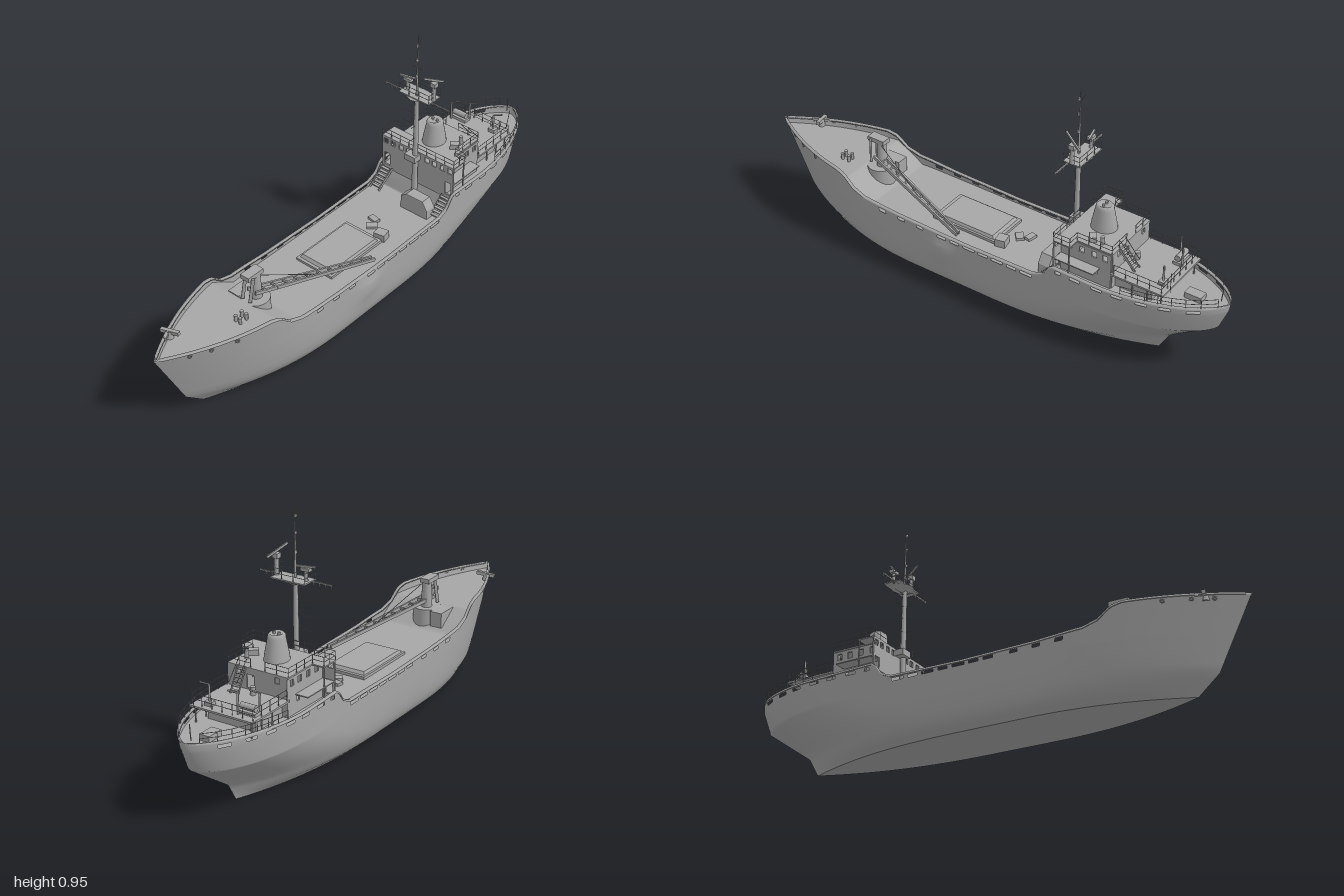
import * as THREE from 'three';

const grey = new THREE.MeshStandardMaterial({ color: 0xa6a6a6, side: THREE.DoubleSide });
grey.name = 'grey paint';
const V = (x, y, z) => new THREE.Vector3(x, y, z);

// piecewise linear lookup in a table of [input, output]
function lerpTable(t, x) {
  if (x <= t[0][0]) return t[0][1];
  for (let i = 1; i < t.length; i++) if (x <= t[i][0]) {
    const [a, p] = t[i - 1], [b, q] = t[i];
    return p + (q - p) * (x - a) / (b - a);
  }
  return t[t.length - 1][1];
}
const STERN = [[0, -.74], [.07, -.78], [.2, -.965], [.25, -.99], [.3, -1]];
const BOW = [[0, .79], [.07, .87], [.33, 1]];
const BEAM = [[0, .125], [.03, .157], [.07, .17], [.12, .175], [.2, .177]];
const SHEER = [[-1, .315], [-.6, .306], [-.39, .312], [-.37, .3], [-.345, .265], [-.3, .247], [0, .243],
  [.3, .25], [.48, .262], [.53, .28], [.565, .32], [.6, .33], [1, .33]];
const DECK = [[-1, .28], [-.38, .278], [-.37, .215], [.48, .22], [.57, .295], [1, .305]];
const STATIONS = [-1, -.998, -.995];
for (let i = 1; i < 200; i++) STATIONS.push(-1 + i / 100);
STATIONS.push(.995, 1);

// point on the hull skin at station s and height y
function hullPoint(s, y, side, out = 0) {
  const za = lerpTable(STERN, y), zb = lerpTable(BOW, y);
  const z = za + (s + 1) / 2 * (zb - za), k = Math.min(1, y / .2);
  const tb = Math.min(1, (zb - z) / .6), ts = Math.min(1, (z - za) / (.7 - .2 * k));
  const w = lerpTable(BEAM, y) * (1 - (1 - tb) ** 2.2) * (1 - (1 - ts) ** 2.4) ** (1 - .35 * k);
  let bump = 0;
  if (side > 0) bump = .014 * Math.exp(-(((z - .1) / .06) ** 2) - ((y - .17) / .045) ** 2);
  return V(side * (Math.max(0, w + (w > .01 ? out : 0)) + bump), y, z);
}

// surface through rows of points, leaving out cells where skip(i, j) is true
function loft(rows, skip = () => false) {
  const n = rows[0].length, pos = [], idx = [];
  rows.forEach(r => r.forEach(p => pos.push(p.x, p.y, p.z)));
  for (let i = 0; i < rows.length - 1; i++) for (let j = 0; j < n - 1; j++) {
    if (skip(i, j)) continue;
    const a = i * n + j, b = a + n;
    idx.push(a, b, a + 1, b, b + 1, a + 1);
  }
  const g = new THREE.BufferGeometry();
  g.setAttribute('position', new THREE.Float32BufferAttribute(pos, 3));
  g.setIndex(idx);
  g.computeVertexNormals();
  return g;
}

export function createModel() {
  const root = new THREE.Group();
  root.name = 'cargoShip';
  const ship = new THREE.Group();
  ship.name = 'ship';
  ship.position.x = -.005;
  root.add(ship);

  const add = (name, geo, x = 0, y = 0, z = 0) => {
    const m = new THREE.Mesh(geo, grey);
    m.name = name;
    m.position.set(x, y, z);
    ship.add(m);
    return m;
  };
  const box = (name, w, h, d, x, y, z) => add(name, new THREE.BoxGeometry(w, h, d), x, y + h / 2, z);
  const cyl = (name, r0, r1, h, x, y, z, n = 16) => add(name, new THREE.CylinderGeometry(r1, r0, h, n), x, y + h / 2, z);
  const rod = (name, a, b, r = .0014, n = 5) => {
    const m = add(name, new THREE.CylinderGeometry(r, r, a.distanceTo(b), n));
    m.position.copy(a).add(b).multiplyScalar(.5);
    m.quaternion.setFromUnitVectors(V(0, 1, 0), b.clone().sub(a).normalize());
    return m;
  };
  const beam = (name, a, b, w, h) => {
    const m = add(name, new THREE.BoxGeometry(w, h, a.distanceTo(b)));
    m.position.copy(a).add(b).multiplyScalar(.5);
    m.lookAt(b);
    return m;
  };
  const up = (p, h) => p.clone().setY(p.y + h);
  const rail = (name, pts, h) => {
    for (let i = 0; i < pts.length - 1; i++) {
      const a = pts[i], b = pts[i + 1], n = Math.max(1, Math.round(a.distanceTo(b) / .045));
      for (const k of [.5, 1]) rod(name, up(a, h * k), up(b, h * k), .0012);
      for (let j = 0; j <= n; j++) { const p = a.clone().lerp(b, j / n); rod(name + 'Post', p, up(p, h)); }
    }
  };
  // upright wall with rectangular openings [centre, bottom, width, height]
  const wall = (name, a, b, y0, y1, holes, x, z, turn = 0) => {
    const rect = (T, l, bt, r, t) => new T([[l, bt], [r, bt], [r, t], [l, t]].map(p => new THREE.Vector2(...p)));
    const s = rect(THREE.Shape, a, y0, b, y1);
    holes.forEach(([c, y, w, h]) => s.holes.push(rect(THREE.Path, c - w / 2, y, c + w / 2, y + h)));
    add(name, new THREE.ExtrudeGeometry(s, { depth: .006, bevelEnabled: false }), x, 0, z).rotation.y = turn;
  };

  // hull sides with freeing ports in the bulwark, and cap rail
  const low = [0, .015, .03, .05, .07, .1, .13, .16, .19, .2];
  const isPort = s => (s > -.3 && s < .13 && (s + .3) % .065 < .042) || (s > .2 && s < .46 && (s - .2) % .09 < .03)
    || (s > -.93 && s < -.4 && (s + .93) % .085 < .04);
  for (const side of [-1, 1]) {
    const rows = low.map(y => STATIONS.map(s => hullPoint(s, y, side)));
    for (const f of [0, .3, .65, 1]) rows.push(STATIONS.map(s => {
      const d = lerpTable(DECK, s);
      return hullPoint(s, d + f * (lerpTable(SHEER, s) - d), side);
    }));
    add('hullSide', loft(rows, (i, j) => i === low.length + 1 && isPort(STATIONS[j] + .001)));
    const cap = [[.003, -.006], [.003, .001], [-.008, .001], [-.008, -.006], [.003, -.006]].map(([o, dy]) =>
      STATIONS.map(s => up(hullPoint(s, lerpTable(SHEER, s), side, o), dy)));
    add('capRail', loft(cap));
  }
  const across = (f, yOf) => STATIONS.map(s => { const p = hullPoint(s, yOf(s), 1); p.x = f * Math.abs(hullPoint(s, yOf(s), -1).x); return p; });
  add('hullBottom', loft([-1, 0, 1].map(f => across(f, () => 0))));
  add('deck', loft([-1, 0, 1].map(f => across(f, s => lerpTable(DECK, s)))));

  // bridge front screen and house with open windows
  const winX = [-.155, -.12, -.08, -.045, .045, .08, .12, .155];
  wall('bridgeFront', -.172, .172, .215, .425,
    [...winX.map(x => [x, .393, .02, .022]), [-.148, .295, .028, .055], [.148, .295, .028, .055]], 0, -.395);
  const sideWin = [.43, .48, .53, .575].map(c => [c, .385, .02, .024]);
  for (const x of [-.125, .119]) wall('houseSide', .392, .6, .275, .42, [...sideWin, [.46, .32, .015, .018], [.54, .32, .015, .018]], x + .003, 0, Math.PI / 2);
  wall('houseBack', -.122, .122, .275, .42, [[-.08, .393, .02, .022], [.08, .393, .02, .022], [.03, .35, .03, .05]], 0, -.603);
  box('bridgeRoof', .25, .006, .212, 0, .419, -.497);
  for (const s of [-1, 1]) {
    box('bridgeWing', .05, .005, .07, s * .148, .42, -.425);
    box('sideGallery', .05, .004, .16, s * .147, .345, -.475);
    rod('wingPost', V(s * .17, .28, -.455), V(s * .17, .42, -.455), .003);
    rail('bridgeRail', [V(0, .425, -.39), V(s * .172, .425, -.39), V(s * .172, .425, -.458), V(s * .125, .425, -.458),
      V(s * .125, .425, -.6), V(s * .03, .425, -.6)], .034);
    rail('afterRail', [V(s * .125, .345, -.61), V(s * .125, .345, -.8), V(0, .345, -.8)], .04);
    rail('sternRail', Array.from({ length: 8 }, (_, i) => {
      const z = -.66 - i * .045, p = hullPoint(z, lerpTable(SHEER, z), s); p.x *= .98; return p;
    }), .035);
    // stairs from the main deck
    for (let i = 0; i < 6; i++) box('stairStep', .04, .004, .012, s * .145, .228 + i * .011, -.325 - i * .01);
    for (const e of [-.022, .022]) beam('stairStringer', V(s * .145 + e, .218, -.315), V(s * .145 + e, .29, -.385), .003, .01);
  }
  // after house and its deck
  box('afterHouse', .2, .062, .15, 0, .276, -.675);
  box('afterDeck', .26, .007, .21, 0, .338, -.705);
  for (const x of [-.115, .115]) for (const z of [-.68, -.74, -.795]) rod('deckPillar', V(x, .278, z), V(x, .338, z), .003);
  for (let i = 0; i < 6; i++) box('ladderStep', .03, .003, .01, .06, .355 + i * .012, -.655 + i * .009);
  for (const x of [.044, .076]) {
    beam('ladderStringer', V(x, .345, -.662), V(x, .425, -.602), .003, .008);
    rod('ladderHandrail', V(x, .385, -.662), V(x, .455, -.602));
  }

  // funnel
  const funnel = add('funnel', new THREE.LatheGeometry([[.045, .42], [.042, .445], [.031, .505], [.03, .515], [.024, .522], [.02, .518], [0, .516]]
    .map(p => new THREE.Vector2(...p)), 24), 0, 0, -.49);
  funnel.scale.z = 1.12;
  for (const x of [-.01, .01]) cyl('exhaust', .005, .005, .014, x, .512, -.49, 8);
  cyl('roofVent', .008, .008, .03, .09, .425, -.54, 10);
  box('roofLocker', .035, .02, .025, .09, .425, -.5).rotation.y = .6;

  // mast, platform and aerials
  cyl('mast', .012, .0085, .47, 0, .215, -.375, 14);
  cyl('topMast', .005, .0025, .2, 0, .685, -.375, 8);
  rod('mastTip', V(0, .88, -.375), V(0, .95, -.375));
  rod('mastArm', V(-.025, .81, -.375), V(.025, .81, -.375));
  rod('mastHook', V(0, .9, -.375), V(0, .93, -.395));
  for (const y of [.77, .84, .9]) cyl('mastLamp', .005, .005, .01, 0, y, -.37, 8);
  cyl('platformBracket', .012, .045, .02, 0, .664, -.385, 10);
  box('mastPlatform', .14, .005, .07, 0, .683, -.39);
  beam('yard', V(-.15, .685, -.375), V(.15, .685, -.375), .005, .005);
  for (let i = -6; i <= 6; i++) if (Math.abs(i) > 2) rod('yardAerial', V(i * .0245, .672, -.375), V(i * .0245, .686, -.375), .0025);
  rail('platformRail', [V(-.07, .688, -.357), V(.07, .688, -.357), V(.07, .688, -.423), V(-.07, .688, -.423), V(-.07, .688, -.357)], .036);
  cyl('radarPost', .007, .007, .045, -.055, .688, -.39, 8);
  box('radarHousing', .035, .012, .02, -.055, .724, -.39);
  beam('radarBar', V(-.088, .74, -.38), V(-.023, .74, -.4), .008, .006);
  cyl('radarPost', .009, .008, .065, .067, .688, -.39, 8);
  box('radarHousing', .022, .018, .022, .067, .748, -.39);
  beam('radarBar', V(.052, .795, -.35), V(.075, .757, -.43), .006, .008);
  for (const y of [.5, .555, .605, .655]) {
    rod('mastRung', V(-.065, y, -.375), V(0, y, -.375), .0009);
    rod('mastRung', V(0, y, -.375), V(0, y, -.345), .0014);
  }
  box('mastWinch', .05, .025, .035, -.01, .395, -.37);

  // cargo hatch with sloping edges
  const hatch = add('hatch', new THREE.CylinderGeometry(.62, Math.SQRT1_2, .022, 4, 1).toNonIndexed(), -.003, .228, .06);
  hatch.geometry.rotateY(Math.PI / 4).scale(.165, 1, .275);
  hatch.geometry.computeVertexNormals();
  box('hatchCoaming', .172, .014, .282, -.003, .214, .06);

  // deck cargo and covered boat
  box('crate', .045, .032, .04, .065, .215, -.1).rotation.y = .2;
  box('flatCrate', .04, .012, .03, -.005, .215, -.13).rotation.y = .7;
  box('flatCrate', .04, .012, .025, -.025, .215, -.165).rotation.y = -.2;
  const cover = new THREE.Shape([[-.06, 0], [.06, 0], [.06, .035], [.04, .068], [-.035, .068], [-.06, .05]].map(p => new THREE.Vector2(...p)));
  add('deckLocker', new THREE.ExtrudeGeometry(cover, { depth: .04, bevelSize: .004, bevelThickness: .004, bevelSegments: 2 }), .06, .217, -.34);

  // crane with lattice boom
  cyl('cranePedestal', .056, .054, .075, 0, .22, .51, 20);
  cyl('craneColumn', .022, .018, .1, 0, .295, .505, 12);
  box('craneHead', .04, .018, .075, -.002, .395, .52);
  for (const x of [-.018, .018]) beam('craneLeg', V(x, .3, .55), V(x, .405, .54), .008, .012);
  box('craneCabin', .05, .06, .09, -.068, .235, .505);
  const foot = V(.005, .33, .53), tip = V(.14, .25, .04);
  for (const s of [-1, 1]) beam('boomChord', V(foot.x + s * .019, foot.y, foot.z), V(tip.x + s * .008, tip.y, tip.z), .007, .014);
  for (let i = 1; i < 11; i++) {
    const p = foot.clone().lerp(tip, i / 11), w = .019 - i * .001;
    beam('boomBrace', V(p.x - w, p.y, p.z), V(p.x + w, p.y, p.z), .006, .008);
  }
  rod('craneCable', V(0, .41, .54), V(.08, .285, .27));

  // foredeck fittings
  for (const x of [.04, .062]) for (const z of [.62, .65]) cyl('bollard', .006, .007, .026, x, .297, z, 8);
  beam('anchor', V(-.1, .325, .87), V(-.03, .335, .85), .014, .014);
  beam('anchorArm', V(-.085, .325, .83), V(-.055, .33, .9), .01, .01);
  cyl('anchorHub', .014, .01, .03, -.065, .305, .862, 10);
  for (const s of [-1, 1]) for (const z of [.74, .83, .9]) {
    const p = hullPoint(z, .312, s, .002);
    add('fairlead', new THREE.TorusGeometry(.006, .0025, 6, 10), p.x, p.y, p.z).rotation.y = s * 1.1;
  }

  // stern fittings
  box('sternHatch', .04, .022, .065, 0, .28, -.865);
  box('winchBed', .07, .012, .03, -.08, .345, -.76);
  cyl('winchDrum', .012, .012, .06, -.08, .34, -.76, 12).rotation.z = Math.PI / 2;
  for (const [x, z] of [[-.11, -.74], [-.05, -.78], [.07, -.775]]) {
    rod('davit', V(x, .345, z), V(x, .42, z), .004, 8);
    rod('davitArm', V(x, .42, z), V(x + .03, .428, z - .015), .003, 8);
  }
  box('capstanBase', .03, .015, .025, .07, .345, -.775);
  cyl('aftBollard', .01, .01, .03, 0, .345, -.63, 10);
  rod('sternStaff', V(.0, .31, -.965), V(.0, .37, -.97), .002);
  rod('whipAerial', V(.1, .345, -.82), V(.11, .435, -.825));
  return root;
}
